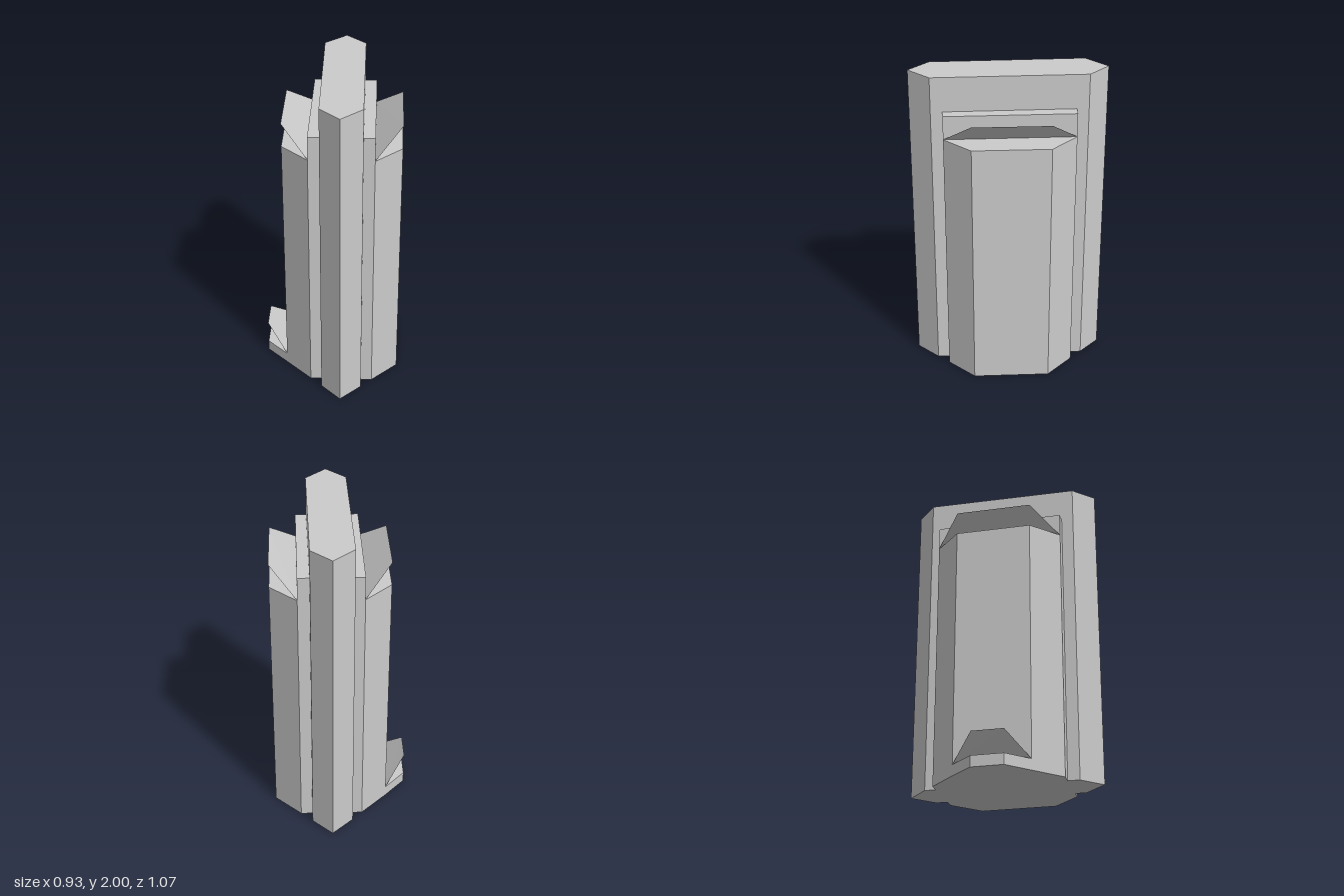
import * as THREE from 'three';

const grey = new THREE.MeshStandardMaterial({ color: 0xcccccc, flatShading: true });
const thin = new THREE.MeshStandardMaterial({ color: 0xcccccc, flatShading: true, side: THREE.DoubleSide });

// Upright prism standing on the ground, from a plan of [x, z] corners
function prism(name, plan, height) {
  const shape = new THREE.Shape(plan.map(([x, z]) => new THREE.Vector2(x, -z)));
  const geo = new THREE.ExtrudeGeometry(shape, { depth: height, bevelEnabled: false });
  geo.rotateX(-Math.PI / 2);
  const mesh = new THREE.Mesh(geo, grey);
  mesh.name = name;
  return mesh;
}

// Thin sloping sheet: plan corners 0 and 3 lie low, 1 and 2 are raised
function flap(name, plan, base, rise = 0.15) {
  const points = plan.map(([x, z], i) => [x, base + (i === 1 || i === 2 ? rise : 0), z]);
  const geo = new THREE.BufferGeometry();
  geo.setAttribute('position', new THREE.Float32BufferAttribute(points.flat(), 3));
  geo.setIndex([0, 1, 2, 0, 2, 3]);
  geo.computeVertexNormals();
  const mesh = new THREE.Mesh(geo, thin);
  mesh.name = name;
  return mesh;
}

export function createModel() {
  const model = new THREE.Group();
  model.name = 'steppedTower';

  // Tall central slab with pointed ends
  model.add(prism('centralSlab', [
    [0.31, -0.535], [0.362, -0.365], [-0.08, 0.478],
    [-0.257, 0.532], [-0.307, 0.36], [0.13, -0.485],
  ], 2));

  // Shorter, wider block through the slab
  model.add(prism('middleBlock', [
    [0.042, -0.455], [0.392, -0.265], [0.014, 0.447], [-0.337, 0.26],
  ], 1.78));

  // Side bays, each with a sheet leaning outward over its top
  const bays = [
    ['leftBay', [[0.392, -0.265], [0.462, -0.042], [0.235, 0.379], [0.014, 0.447]], 1.63],
    ['rightBay', [[0.042, -0.455], [-0.185, -0.385], [-0.407, 0.035], [-0.337, 0.26]], 1.63],
    ['rightStep', [[-0.185, -0.385], [-0.37, -0.32], [-0.464, -0.145], [-0.407, 0.035]], 0.07],
  ];
  for (const [name, plan, height] of bays) {
    model.add(prism(name, plan, height), flap(name + 'Flap', plan, height));
  }
  return model;
}
